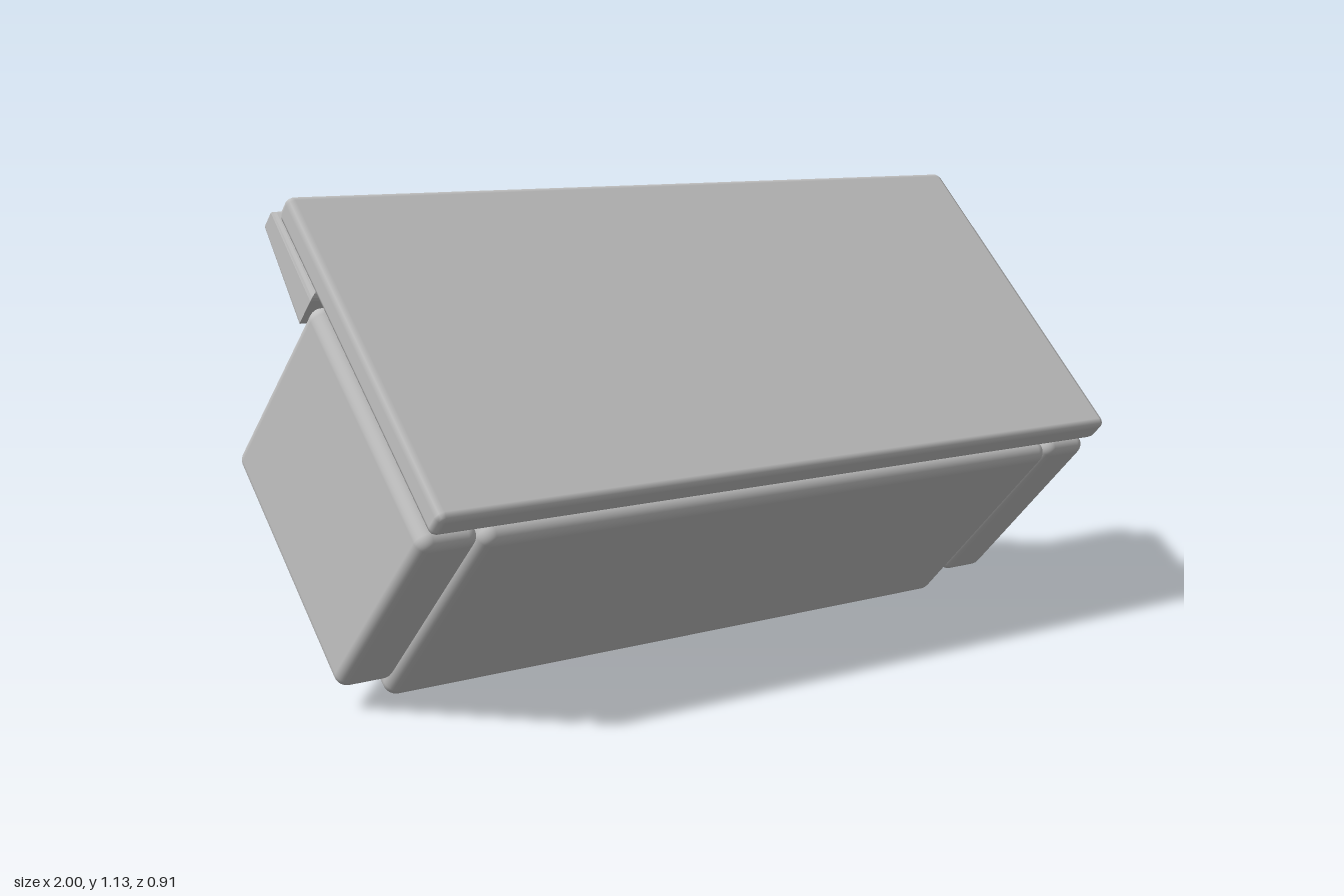
import * as THREE from 'three';
import { RoundedBoxGeometry } from 'three/addons/geometries/RoundedBoxGeometry.js';

export function createModel() {
  const model = new THREE.Group();
  model.name = 'sofa';
  const fabric = new THREE.MeshStandardMaterial({ color: 0xc0c0c0 });
  fabric.name = 'grey fabric';

  // Everything is built upright, facing -z, then tipped over onto its front lower edge
  const sofa = new THREE.Group();
  sofa.name = 'tippedSofa';
  sofa.rotation.set(-Math.PI / 4, 0.007, 0.003, 'YZX');
  model.add(sofa);

  function add(name, geometry) {
    const mesh = new THREE.Mesh(geometry, fabric);
    mesh.name = name;
    sofa.add(mesh);
    return mesh;
  }

  // Rounded box given by its lower and upper limits on each axis
  function block(name, [x0, x1], [y0, y1], [z0, z1], radius, segments = 4) {
    const mesh = add(name, new RoundedBoxGeometry(x1 - x0, y1 - y0, z1 - z0, segments, radius));
    mesh.position.set((x0 + x1) / 2, (y0 + y1) / 2, (z0 + z1) / 2);
    return mesh;
  }

  // Chamfered back panel, base and arms
  block('backPanel', [-0.997, 0.991], [0.028, 0.911], [0.612, 0.68], 0.018, 1);
  block('base', [-0.853, 0.847], [0.018, 0.297], [-0.04, 0.59], 0.032);
  block('rightArm', [-1, -0.855], [0.026, 0.675], [0.033, 0.59], 0.03);
  block('leftArm', [0.85, 0.994], [0.026, 0.675], [0.033, 0.59], 0.03);

  // Three seat cushions
  for (const [x0, x1] of [[-0.85, -0.317], [-0.313, 0.308], [0.312, 0.845]]) {
    block('seatCushion', [x0, x1], [0.3, 0.462], [-0.035, 0.59], 0.025);
  }

  // Back cushions: outline with rounded rim, thinner towards the top
  const backZ = 0.605, depth = 0.15, rim = 0.028;
  function backCushion(name, outline) {
    const shape = new THREE.Shape(outline.map(([x, y]) => new THREE.Vector2(x, y)));
    const geometry = new THREE.ExtrudeGeometry(shape, {
      depth: depth - 2 * rim, bevelEnabled: true, bevelThickness: rim,
      bevelSize: rim, bevelOffset: -rim, bevelSegments: 4,
    });
    const p = geometry.attributes.position;
    for (let i = 0; i < p.count; i++) {
      const thickness = THREE.MathUtils.mapLinear(p.getY(i), 0.46, 0.935, 1, 0.47);
      p.setZ(i, backZ - (depth - rim - p.getZ(i)) * thickness);
    }
    geometry.computeVertexNormals();
    add(name, geometry);
  }
  const low = 0.462, step = 0.685, top = 0.937;
  backCushion('middleBackCushion', [[-0.307, low], [0.298, low], [0.298, top], [-0.307, top]]);
  // Outer cushions have a wing that rests on the arm
  backCushion('rightBackCushion',
    [[-0.85, low], [-0.316, low], [-0.316, top], [-0.993, top], [-0.993, step], [-0.85, step]]);
  backCushion('leftBackCushion',
    [[0.307, low], [0.845, low], [0.845, step], [0.987, step], [0.987, top], [0.307, top]]);

  // Scatter pillow: slab whose faces bulge in the middle
  function pillowGeometry() {
    const geometry = new RoundedBoxGeometry(0.27, 0.27, 0.05, 3, 0.015);
    const soft = new THREE.BoxGeometry(0.275, 0.275, 0.05, 10, 10, 2);
    geometry.dispose();
    const p = soft.attributes.position;
    for (let i = 0; i < p.count; i++) {
      const a = p.getX(i) / 0.1375, b = p.getY(i) / 0.1375;
      const bulge = (1 - a * a) * (1 - b * b);
      p.setZ(i, p.getZ(i) * (0.8 + 0.9 * bulge));
    }
    soft.computeVertexNormals();
    return soft;
  }

  // Each pillow is placed by its centre, sideways and upward directions
  const pillow = pillowGeometry();
  function placePillow(name, centre, side, up) {
    const x = new THREE.Vector3(...side).normalize();
    const z = new THREE.Vector3().crossVectors(x, new THREE.Vector3(...up)).normalize();
    const y = new THREE.Vector3().crossVectors(z, x);
    const mesh = add(name, pillow);
    mesh.quaternion.setFromRotationMatrix(new THREE.Matrix4().makeBasis(x, y, z));
    mesh.position.set(...centre);
  }
  const innerPose = [[-0.23, -0.04, -0.15], [-0.095, 0.172, 0.164]];
  const outerPose = [[-0.19, 0.05, -0.185], [-0.137, 0.167, 0.19]];
  placePillow('leftInnerPillow', [0.46, 0.555, 0.29], ...innerPose);
  placePillow('leftOuterPillow', [0.7, 0.56, 0.26], ...outerPose);
  placePillow('rightInnerPillow', [-0.44, 0.53, 0.29], ...innerPose);
  placePillow('rightOuterPillow', [-0.7, 0.545, 0.26], ...outerPose);

  return model;
}
